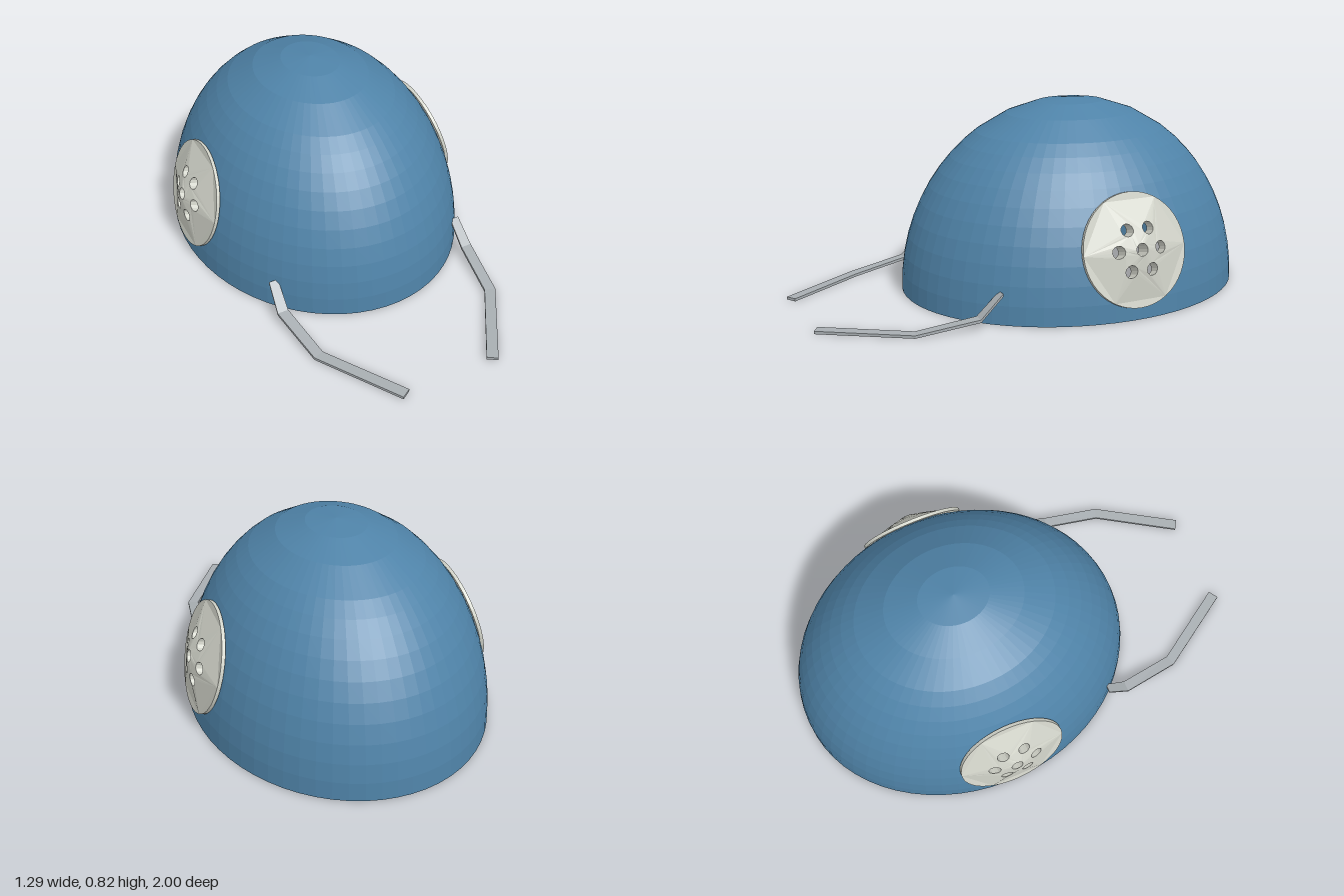
import * as THREE from 'three';

const dome = new THREE.MeshStandardMaterial({ color: 0x4f83a8, flatShading: true });
const plate = new THREE.MeshStandardMaterial({ color: 0xd0d2c8, flatShading: true });
const metal = new THREE.MeshStandardMaterial({ color: 0xa8aeb2, flatShading: true });

// Builds a faceted geometry from a list of four-cornered faces
function fromQuads(quads) {
  const points = quads.flatMap(([a, b, c, d]) => [a, b, c, a, c, d]);
  const geometry = new THREE.BufferGeometry().setFromPoints(points);
  geometry.computeVertexNormals();
  return geometry;
}

function named(geometry, material, name) {
  const mesh = new THREE.Mesh(geometry, material);
  mesh.name = name;
  return mesh;
}

// Thin half-ellipsoid shell with a cross-shaped opening behind each ear disc
function shellGeometry() {
  const columns = 64, wall = 0.012, step = 90 / 16;
  const rows = [];
  for (let i = 0; i <= 10; i++) rows.push(i * step);
  rows.push(67.5, 78.75, 90);

  const point = (i, j, inset) => {
    const up = THREE.MathUtils.degToRad(rows[i]);
    const around = ((j + 0.5) / columns) * Math.PI * 2;
    return new THREE.Vector3(
      (0.63 - inset) * Math.cos(up) * Math.cos(around),
      (0.82 - inset) * Math.sin(up),
      (0.765 - inset) * Math.cos(up) * Math.sin(around) - 0.235);
  };
  const solid = (i, j) => {
    if (i < 0) return false;
    const half = columns / 2;
    const offset = (j + 1 + columns) % half;
    const across = Math.min(offset, half - offset), along = Math.abs(i - 3);
    return across > 2 || along > 2 || (across === 2 && along === 2);
  };

  const quads = [];
  for (let i = 0; i < rows.length - 1; i++) {
    for (let j = 0; j < columns; j++) {
      if (!solid(i, j)) continue;
      const corners = [[i, j], [i + 1, j], [i + 1, j + 1], [i, j + 1]];
      const outer = corners.map(([r, c]) => point(r, c, 0));
      const inner = corners.map(([r, c]) => point(r, c, wall));
      quads.push(outer, [...inner].reverse());
      // Close the edge wherever the neighbouring cell is open
      const neighbours = [[i, j - 1], [i + 1, j], [i, j + 1], [i - 1, j]];
      neighbours.forEach(([r, c], k) => {
        const n = (k + 1) % 4;
        if (!solid(r, c)) quads.push([outer[k], inner[k], inner[n], outer[n]]);
      });
    }
  }
  return fromQuads(quads);
}

// One sixth of the ear disc, cut along the rays through the ring of holes
function wedgeGeometry(start) {
  const R = 0.235, ring = 0.096, hole = 0.026, thick = 0.015, bulge = 0.065;
  const end = start + Math.PI / 3;
  const points = [];
  const arc = (cx, cy, r, from, to, n) => {
    for (let i = 0; i <= n; i++) {
      const a = from + ((to - from) * i) / n;
      points.push(new THREE.Vector2(cx + r * Math.cos(a), cy + r * Math.sin(a)));
    }
  };
  arc(ring * Math.cos(start), ring * Math.sin(start), hole, start + Math.PI, start, 6);
  arc(0, 0, R, start, end, 8);
  arc(ring * Math.cos(end), ring * Math.sin(end), hole, end, end - Math.PI, 6);
  arc(0, 0, hole, end, start, 2);

  const geometry = new THREE.ExtrudeGeometry(new THREE.Shape(points), { depth: thick, bevelEnabled: false });
  // Raise the outer face into a shallow cone
  const p = geometry.attributes.position;
  for (let i = 0; i < p.count; i++) {
    if (p.getZ(i) > thick / 2) p.setZ(i, thick + bulge * (1 - Math.hypot(p.getX(i), p.getY(i)) / R));
  }
  geometry.computeVertexNormals();
  return geometry;
}

function earDisc() {
  const disc = new THREE.Group();
  disc.name = 'earDisc';
  for (let k = 0; k < 6; k++) disc.add(named(wedgeGeometry((k * Math.PI) / 3), plate, 'earDiscSector'));
  // Lean the disc against the dome, facing outwards
  const tilt = 0.272, s = Math.sin(tilt), c = Math.cos(tilt);
  disc.quaternion.setFromRotationMatrix(new THREE.Matrix4().makeBasis(
    new THREE.Vector3(0, 0, -1), new THREE.Vector3(-s, c, 0), new THREE.Vector3(c, s, 0)));
  disc.position.set(0.565, 0.277, -0.23);
  return disc;
}

// Flat bent strip: inner x, z, outer x, z and height at each bend
function strapGeometry() {
  const thick = 0.012;
  const stations = [
    [0.425, 0.30, 0.465, 0.30, 0.125],
    [0.427, 0.40, 0.475, 0.40, 0.036],
    [0.390, 0.645, 0.435, 0.66, 0],
    [0.180, 0.975, 0.220, 1.0, 0],
  ];
  const rings = stations.map(([xi, zi, xo, zo, y]) => [
    new THREE.Vector3(xi, y, zi), new THREE.Vector3(xo, y, zo),
    new THREE.Vector3(xo, y + thick, zo), new THREE.Vector3(xi, y + thick, zi)]);
  const quads = [[...rings[0]].reverse(), rings[rings.length - 1]];
  for (let s = 0; s < rings.length - 1; s++) {
    for (let k = 0; k < 4; k++) {
      const n = (k + 1) % 4;
      quads.push([rings[s][k], rings[s][n], rings[s + 1][n], rings[s + 1][k]]);
    }
  }
  return fromQuads(quads);
}

export function createModel() {
  const model = new THREE.Group();
  model.name = 'helmet';
  model.add(named(shellGeometry(), dome, 'domeShell'));

  // Ear disc and front strap on both sides
  for (const side of [1, -1]) {
    const half = new THREE.Group();
    half.name = side > 0 ? 'leftFittings' : 'rightFittings';
    half.add(earDisc(), named(strapGeometry(), metal, 'frontStrap'));
    half.scale.x = side;
    model.add(half);
  }
  return model;
}
